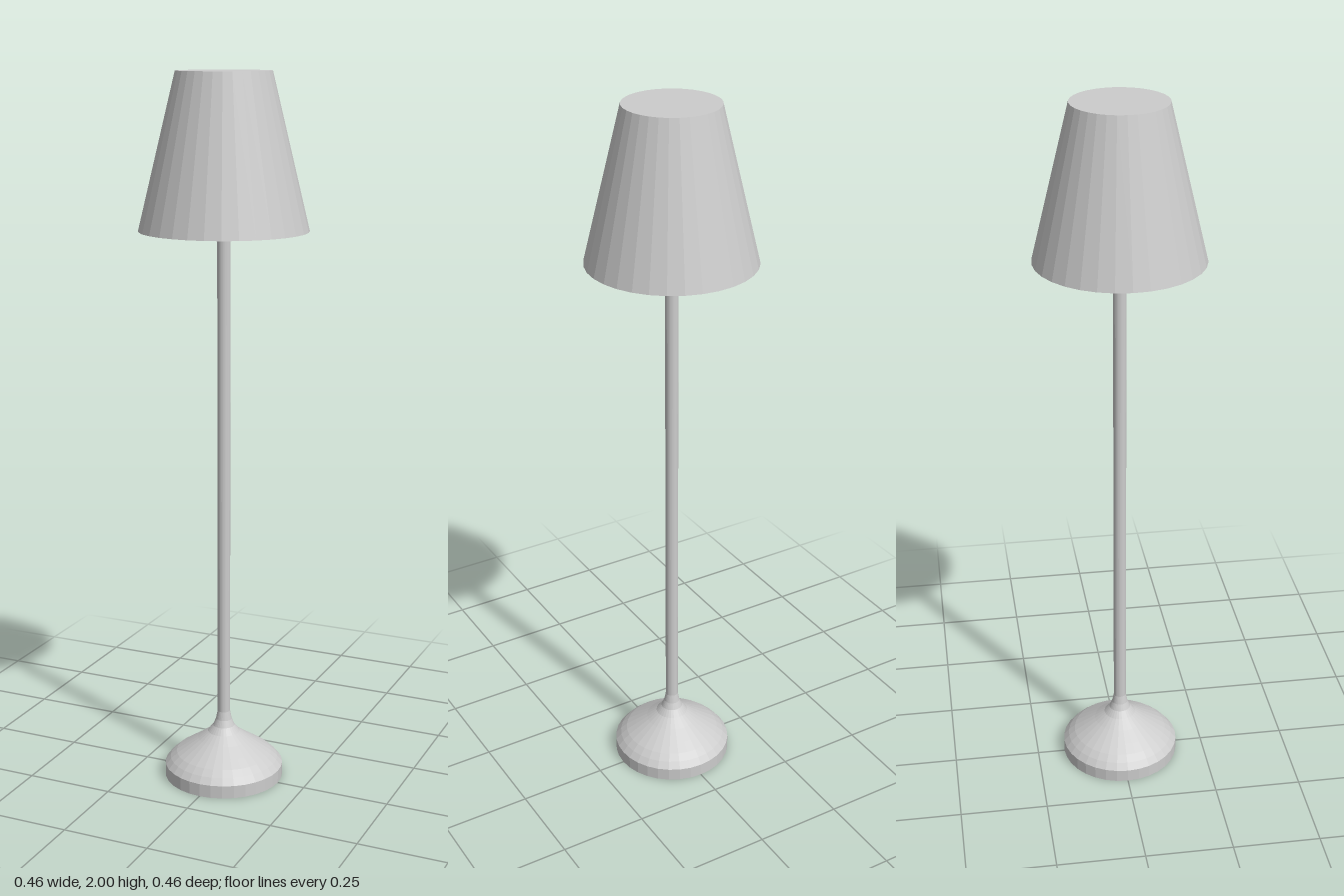
import * as THREE from 'three';

const SIDES = 32;

export function createModel() {
  const lamp = new THREE.Group();
  lamp.name = 'floorLamp';

  const grey = new THREE.MeshStandardMaterial({ color: 0xcccccc, flatShading: true, side: THREE.DoubleSide });
  grey.name = 'light grey';

  // Revolve a bottom-to-top profile of [radius, height] pairs
  const turned = (name, profile) => {
    const points = profile.map(([r, y]) => new THREE.Vector2(r, y));
    const mesh = new THREE.Mesh(new THREE.LatheGeometry(points, SIDES), grey);
    mesh.name = name;
    lamp.add(mesh);
  };

  // Weighted foot with a straight rim and a flared neck
  turned('base', [
    [0, 0], [0.17, 0], [0.17, 0.037], [0.155, 0.055], [0.137, 0.071],
    [0.11, 0.089], [0.075, 0.112], [0.046, 0.133], [0.031, 0.151],
    [0.023, 0.17], [0.018, 0.195],
  ]);

  // Slim upright
  turned('pole', [[0.018, 0.19], [0.018, 1.57]]);

  // Socket with a chamfered lower edge, running up to the shade top
  turned('socket', [[0.018, 1.56], [0.025, 1.56], [0.031, 1.57], [0.031, 1.998]]);

  // Tapered shade, open below and closed on top
  turned('shade', [[0.231, 1.58], [0.129, 2], [0, 2]]);

  return lamp;
}
